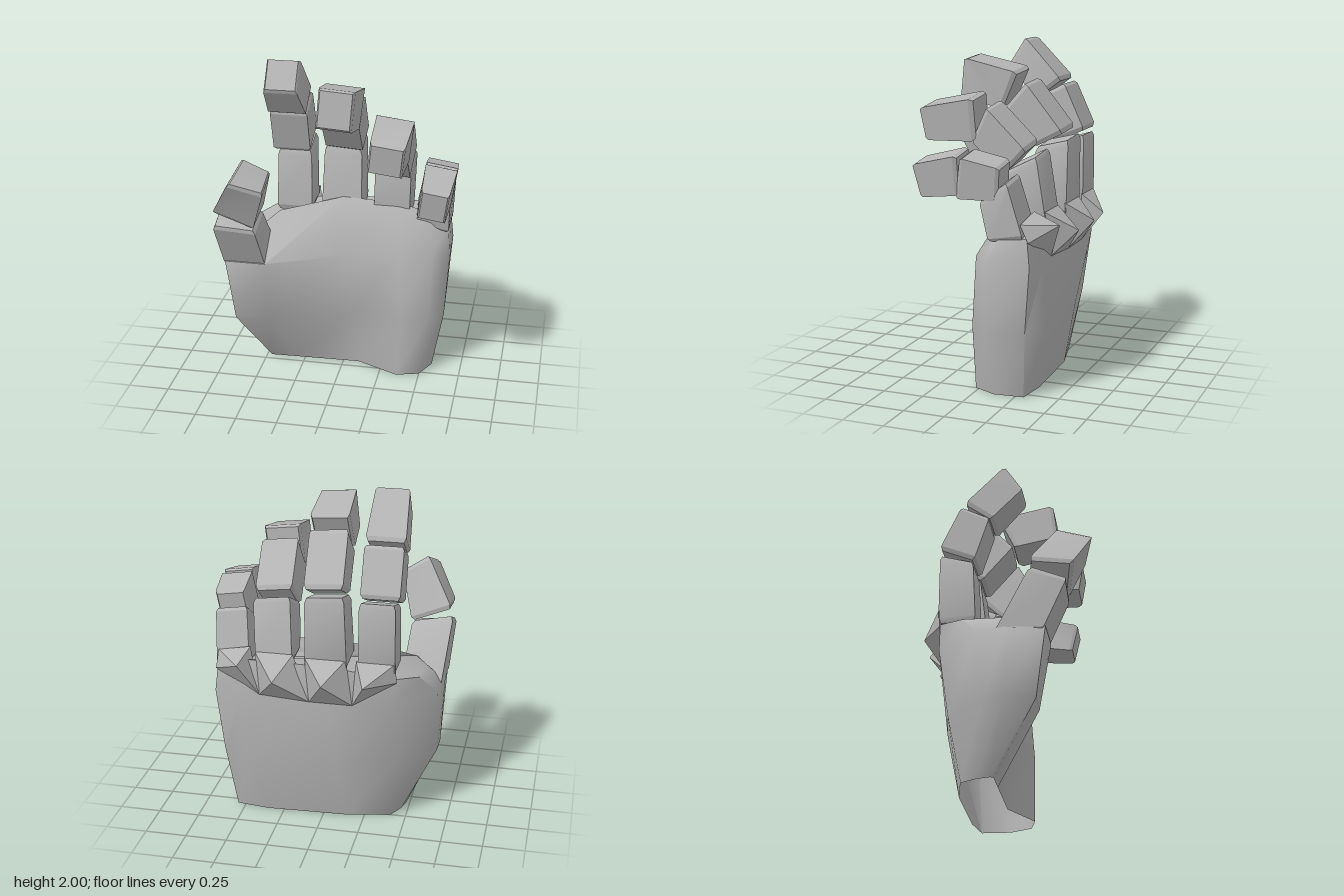
import * as THREE from 'three';
import { toCreasedNormals } from 'three/addons/utils/BufferGeometryUtils.js';

const V = (x, y, z) => new THREE.Vector3(x, y, z);
const centroid = (ring) => ring.reduce((s, p) => s.add(p), V(0, 0, 0)).divideScalar(ring.length);

// Solid through rings of equal length, ordered left, front, right, back; the base may stay open
function loft(rings, crease, openBase = false) {
  const n = rings[0].length, last = (rings.length - 1) * n, index = [];
  const points = [...rings.flat(), centroid(rings[0]), centroid(rings[rings.length - 1])];
  for (let r = 0; r < rings.length - 1; r++) {
    for (let i = 0; i < n; i++) {
      const a = r * n + i, b = r * n + (i + 1) % n;
      index.push(a, b, b + n, a, b + n, a + n);
    }
  }
  for (let i = 0; i < n; i++) {
    const j = (i + 1) % n;
    if (!openBase) index.push(last + n, j, i);
    index.push(last + n + 1, last + i, last + j);
  }
  const geo = new THREE.BufferGeometry().setFromPoints(points);
  geo.setIndex(index);
  return toCreasedNormals(geo, crease);
}

// Six-sided block between two quads, with chamfered ends
function block(base, tip) {
  const at = (t, shrink) => {
    const ring = base.map((p, i) => p.clone().lerp(tip[i], t));
    const c = centroid(ring);
    return ring.map((p) => p.lerp(c, shrink));
  };
  return loft([at(0, 0.12), at(0.08, 0), at(0.93, 0), at(1, 0.1)], 0.4);
}

// Quad across a finger: x centre, width, front and back [z, y], sideways roll
function across(x, w, front, back, roll) {
  const h = w / 2, mid = (front[1] + back[1]) / 2;
  const corner = (dx, [z, y]) => V(x + dx + (y - mid) * roll, y - dx * roll, z);
  return [corner(-h, front), corner(h, front), corner(h, back), corner(-h, back)];
}

// Palm rings as [x, y, z]
const wrist = [[-.48, 0, -.07], [-.47, 0, -.05], [-.3, 0, -.055], [.1, 0, -.065], [.36, 0, .06], [.5, 0, .02],
  [.565, 0, -.12], [.55, 0, -.3], [.35, 0, -.325], [-.15, 0, -.305], [-.41, 0, -.245], [-.46, 0, -.15]];
const heel = [[-.665, .4, .03], [-.63, .39, .21], [-.42, .4, .2], [.08, .4, .02], [.38, .4, .06], [.55, .4, .02],
  [.635, .38, -.09], [.615, .4, -.33], [.46, .4, -.4], [-.1, .4, -.39], [-.45, .4, -.32], [-.66, .39, -.08]];
const middle = [[-.68, .8, .05], [-.67, .8, .27], [-.42, .8, .27], [0, .8, .07], [.36, .82, .03], [.56, .82, -.01],
  [.66, .78, -.09], [.65, .8, -.37], [.48, .8, -.4], [-.05, .8, -.4], [-.44, .8, -.38], [-.655, .8, -.12]];
const crown = [[-.57, .92, 0], [-.5, .95, .05], [-.4, 1.02, -.06], [-.02, 1.1, -.16], [.34, 1.09, -.15], [.53, 1.04, -.14],
  [.635, .95, -.18], [.635, .96, -.35], [.45, 1.02, -.38], [-.05, 1.02, -.39], [-.43, .97, -.38], [-.56, .93, -.22]];

// Finger segments: [x, width] at base and tip, then [z, y] of front base, back base, front tip, back tip
const fingers = {
  index: { roll: 0, segments: [
    [[-.33, .22], [-.33, .21], [-.17, .98], [-.39, .98], [-.19, 1.37], [-.39, 1.43]],
    [[-.345, .23], [-.345, .23], [-.18, 1.37], [-.39, 1.46], [-.09, 1.65], [-.26, 1.74]],
    [[-.347, .235], [-.347, .2], [-.08, 1.64], [-.24, 1.76], [.11, 1.84], [0, 2.01]]] },
  second: { roll: 0.07, segments: [
    [[-.03, .25], [-.025, .23], [-.15, 1], [-.39, .98], [-.2, 1.4], [-.4, 1.45]],
    [[-.015, .23], [-.005, .23], [-.19, 1.4], [-.37, 1.49], [0, 1.62], [-.14, 1.78]],
    [[.003, .235], [.01, .21], [.01, 1.62], [-.09, 1.84], [.28, 1.68], [.25, 1.915]]] },
  third: { roll: 0.12, segments: [
    [[.285, .22], [.3, .22], [-.14, 1], [-.38, .98], [-.12, 1.3], [-.32, 1.4]],
    [[.3, .22], [.31, .22], [-.11, 1.28], [-.26, 1.43], [.08, 1.47], [-.02, 1.67]],
    [[.32, .225], [.325, .2], [.05, 1.47], [.06, 1.72], [.37, 1.46], [.4, 1.65]]] },
  little: { roll: 0.15, segments: [
    [[.545, .2], [.565, .19], [-.12, .94], [-.33, .97], [-.07, 1.17], [-.24, 1.29]],
    [[.58, .18], [.59, .19], [-.18, 1.18], [-.2, 1.37], [.07, 1.18], [.03, 1.42]],
    [[.592, .19], [.592, .16], [.05, 1.2], [.05, 1.43], [.29, 1.17], [.33, 1.36]]] },
};

// Knuckle spikes: low points between the fingers, then each tip with the finger edges above it
const valleys = [V(-.45, .95, -.38), V(-.19, .79, -.4), V(.07, .79, -.4), V(.37, .81, -.4), V(.645, .94, -.36)];
const spikes = [
  [V(-.27, .95, -.51), V(-.44, 1.07, -.385), V(-.21, 1.07, -.385)],
  [V(-.03, .95, -.53), V(-.15, 1.07, -.385), V(.1, 1.07, -.385)],
  [V(.26, .95, -.53), V(.17, 1.07, -.37), V(.4, 1.07, -.37)],
  [V(.48, 1.02, -.49), V(.44, 1.08, -.32), V(.64, 1.04, -.31)]];

function spikeGeometry([tip, left, right], i) {
  const rim = [valleys[i], left, right, valleys[i + 1]];
  const pts = rim.flatMap((p, k) => [tip, p, rim[(k + 1) % rim.length]]);
  const geo = new THREE.BufferGeometry().setFromPoints(pts);
  geo.computeVertexNormals();
  return geo;
}

export function createModel() {
  const hand = new THREE.Group();
  hand.name = 'hand';
  // Double sided, since the wrist is open underneath
  const grey = new THREE.MeshStandardMaterial({ color: 0xb4b4b4, side: THREE.DoubleSide });
  grey.name = 'plain grey';
  const add = (parent, name, geo) => {
    const mesh = new THREE.Mesh(geo, grey);
    mesh.name = name;
    parent.add(mesh);
  };

  // Palm and open wrist
  const rings = [wrist, heel, middle, crown].map((r) => r.map((p) => V(...p)));
  add(hand, 'palm', loft(rings, 1.1, true));

  // Curled fingers
  const joints = ['Proximal', 'Middle', 'Tip'];
  for (const [name, { roll, segments }] of Object.entries(fingers)) {
    const finger = new THREE.Group();
    finger.name = name + 'Finger';
    segments.forEach(([b, t, frontBase, backBase, frontTip, backTip], i) => {
      add(finger, name + joints[i],
        block(across(...b, frontBase, backBase, roll), across(...t, frontTip, backTip, roll)));
    });
    hand.add(finger);
  }

  // Thumb, turned toward the fingers
  const thumb = new THREE.Group();
  thumb.name = 'thumb';
  add(thumb, 'thumbBase', block(
    [V(-.675, .77, .25), V(-.42, .77, .25), V(-.42, .82, -.01), V(-.66, .77, -.03)],
    [V(-.7, 1.08, .4), V(-.45, 1.06, .39), V(-.45, 1.12, .19), V(-.7, 1.17, .19)]));
  add(thumb, 'thumbTip', block(
    [V(-.69, 1.18, .43), V(-.46, 1.07, .38), V(-.45, 1.13, .16), V(-.69, 1.22, .18)],
    [V(-.56, 1.41, .54), V(-.37, 1.34, .48), V(-.37, 1.41, .28), V(-.52, 1.5, .33)]));
  hand.add(thumb);

  // Knuckle spikes on the back
  spikes.forEach((s, i) => add(hand, 'knuckleSpike' + (i + 1), spikeGeometry(s, i)));
  return hand;
}
